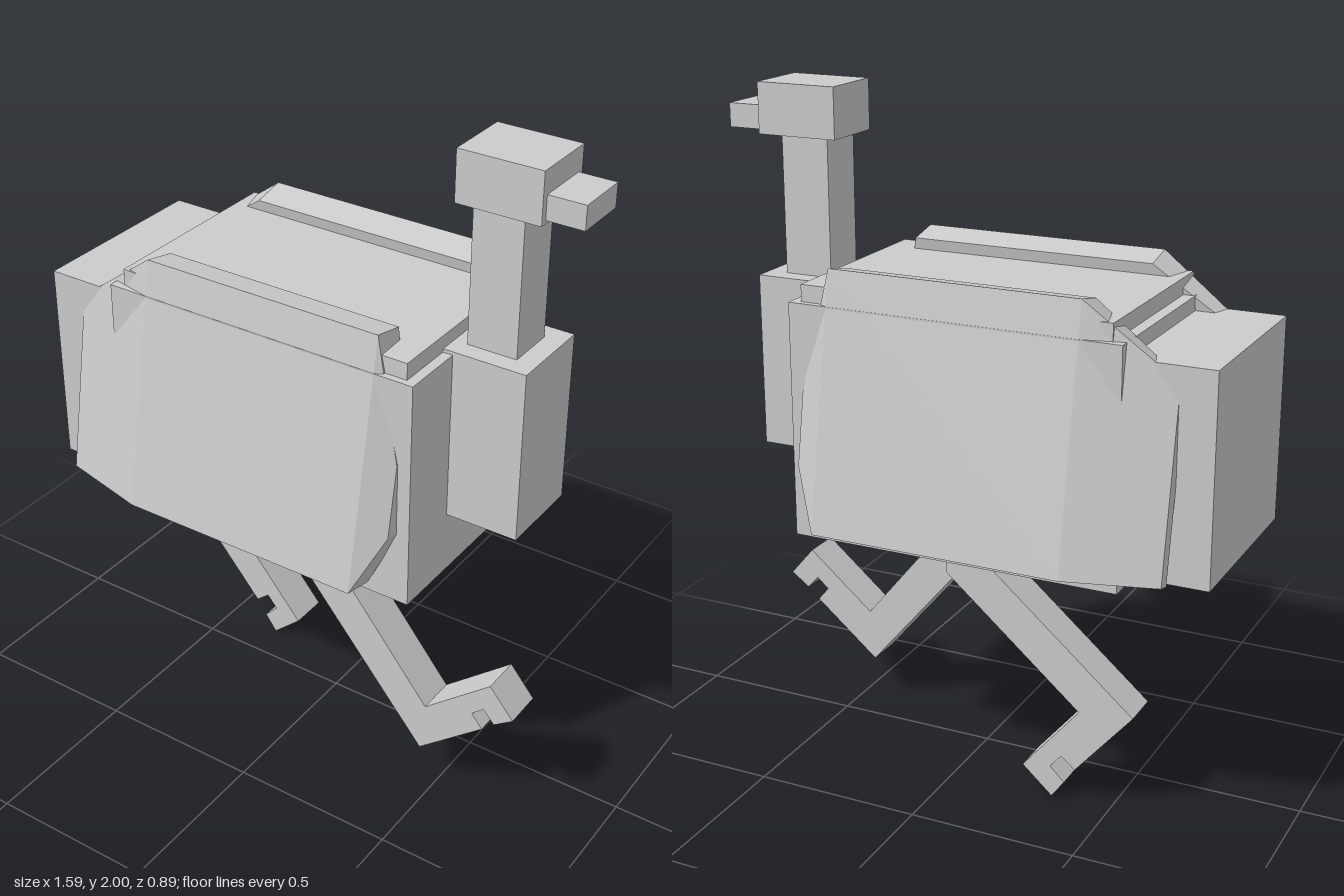
import * as THREE from 'three';
import { ConvexGeometry } from 'three/addons/geometries/ConvexGeometry.js';

const material = new THREE.MeshStandardMaterial({ color: 0xcccccc, flatShading: true });

export function createModel() {
  const model = new THREE.Group();
  model.name = 'runningBird';

  const add = (name, geometry) => {
    const mesh = new THREE.Mesh(geometry, material);
    mesh.name = name;
    model.add(mesh);
    return mesh;
  };

  // Box given by its limits on each axis
  const box = (name, [x0, x1], [y0, y1], [z0, z1]) =>
    add(name, new THREE.BoxGeometry(x1 - x0, y1 - y0, z1 - z0))
      .position.set((x0 + x1) / 2, (y0 + y1) / 2, (z0 + z1) / 2);

  // Body, back plate and tail
  box('body', [-0.545, 0.46], [0.77, 1.43], [-0.33, 0.33]);
  box('backPlate', [-0.51, 0.43], [1.43, 1.48], [-0.31, 0.31]);
  box('tail', [-0.795, -0.51], [0.77, 1.385], [-0.293, 0.293]);

  // Shallow rim around the recessed belly
  for (const s of [-1, 1]) box('bellyRimSide', [-0.545, 0.46], [0.73, 0.77], s > 0 ? [0.3, 0.33] : [-0.33, -0.3]);
  box('bellyRimRear', [-0.545, -0.515], [0.73, 0.77], [-0.3, 0.3]);
  box('bellyRimFront', [0.43, 0.46], [0.73, 0.77], [-0.3, 0.3]);

  // Neck and head
  box('neckBase', [0.43, 0.68], [0.92, 1.44], [-0.132, 0.132]);
  box('neck', [0.47, 0.62], [1.44, 1.85], [-0.075, 0.075]);
  box('head', [0.43, 0.68], [1.85, 2], [-0.102, 0.102]);
  box('beak', [0.68, 0.79], [1.86, 1.93], [-0.082, 0.082]);

  // Wings: sloping slabs whose outer face steps inward at both ends
  // Outline points: x, y, inward step of the outer face
  const outline = [
    [-0.69, 1.345, 0.06], [-0.42, 1.535, 0], [0.34, 1.535, 0], [0.42, 1.18, 0.04],
    [0.42, 0.97, 0.04], [0.34, 0.79, 0], [-0.42, 0.79, 0], [-0.69, 0.805, 0.06],
  ];
  for (const s of [-1, 1]) {
    const points = outline.flatMap(([x, y, step]) => {
      const z = 0.31 + (1.535 - y) * 0.181;
      return [
        new THREE.Vector3(x, y - step * 0.18, s * (z - step)),
        new THREE.Vector3(x, y - 0.021, s * (z - 0.1)),
      ];
    });
    add(s > 0 ? 'leftWing' : 'rightWing', new ConvexGeometry(points));
  }

  // Legs: bent outlines with a notched foot
  const leg = (name, points, z) => {
    const shape = new THREE.Shape(points.map(([x, y]) => new THREE.Vector2(x, y)));
    add(name, new THREE.ExtrudeGeometry(shape, { depth: 0.12, bevelEnabled: false })).position.z = z;
  };
  leg('forwardLeg', [
    [-0.085, 0.775], [0.455, 0.135], [0.66, 0.305], [0.625, 0.347], [0.662, 0.38],
    [0.698, 0.34], [0.757, 0.382], [0.68, 0.473], [0.47, 0.297], [0.08, 0.775],
  ], 0.11);
  leg('rearLeg', [
    [-0.02, 0.775], [-0.565, 0.31], [-0.39, 0.105], [-0.347, 0.14], [-0.313, 0.1],
    [-0.357, 0.056], [-0.318, 0.003], [-0.225, 0.085], [-0.4, 0.293], [0.02, 0.65], [0.02, 0.775],
  ], -0.23);

  return model;
}
